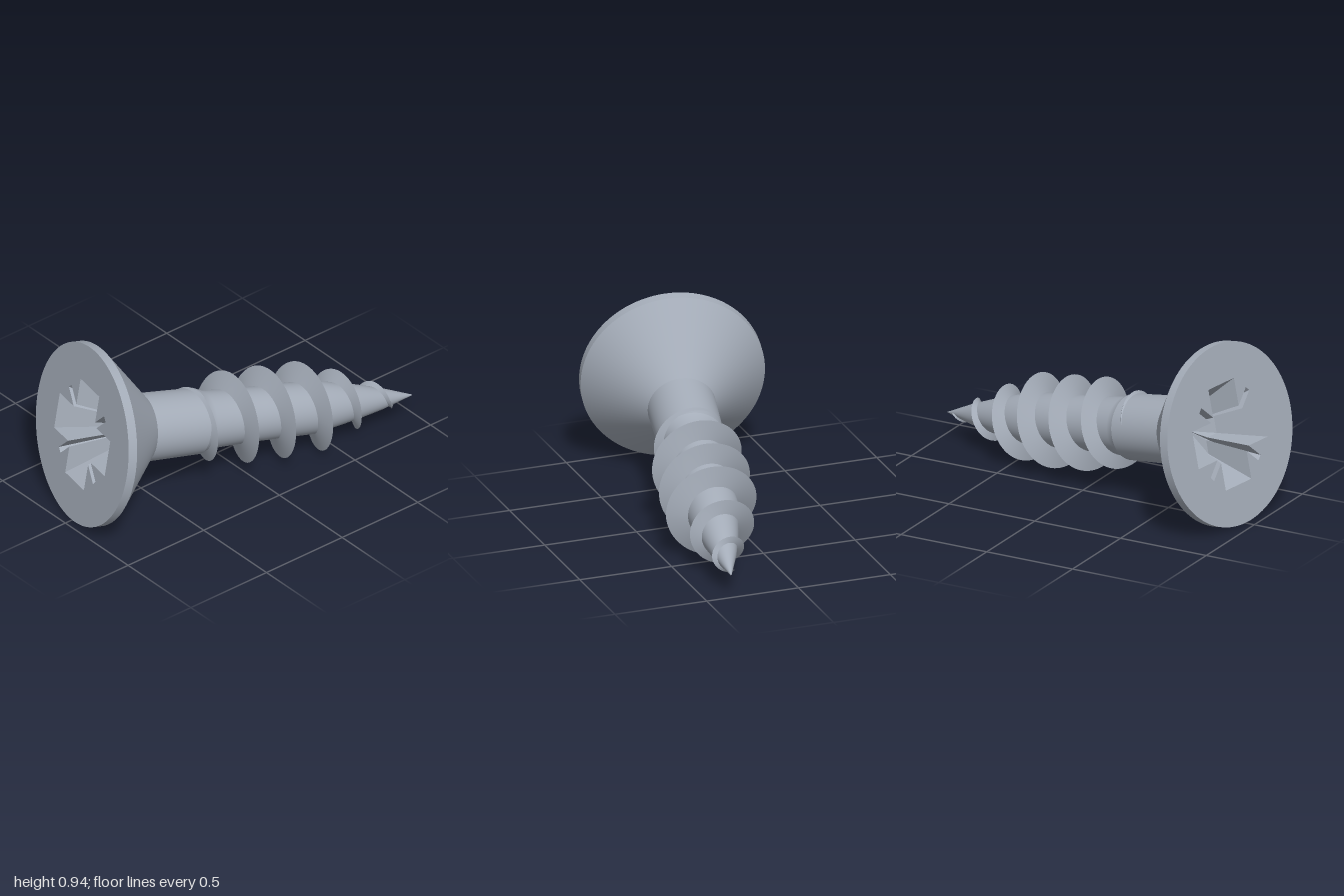
import * as THREE from 'three';

const steel = new THREE.MeshStandardMaterial({ color: 0xa4acb8 });
steel.name = 'steel';

// Profiles as [distance along the axis, radius]
const CORE = [[0.66, 0.17], [0.71, 0.15], [1.0, 0.14], [1.34, 0.138], [1.6, 0.09], [1.75, 0.056], [1.933, 0.002]];
const CREST = [[0.58, 0.168], [0.7, 0.203], [0.79, 0.233], [0.85, 0.244], [1.34, 0.242], [1.4, 0.217],
  [1.5, 0.174], [1.61, 0.131], [1.72, 0.088], [1.77, 0.073], [1.89, 0.02]];

function sample(table, t) {
  if (t <= table[0][0]) return table[0][1];
  for (let i = 1; i < table.length; i++) {
    const [t0, r0] = table[i - 1], [t1, r1] = table[i];
    if (t <= t1) return r0 + (r1 - r0) * (t - t0) / (t1 - t0);
  }
  return table[table.length - 1][1];
}

function mesh(name, geometry) {
  const m = new THREE.Mesh(geometry, steel);
  m.name = name;
  return m;
}

function turned(name, profile) {
  return mesh(name, new THREE.LatheGeometry(profile.map(([t, r]) => new THREE.Vector2(r, t)), 96));
}

// Cross-shaped recess outline with a narrow slit in each inner corner
function recessOutline() {
  const a = 0.1, reach = 0.27, m = 0.185, s = 0.011, pts = [];
  const quarter = [[reach, -a], [reach, a], [a + 2 * s, a], [m + s, m - s], [m - s, m + s], [a, a + 2 * s]];
  for (let q = 0; q < 4; q++) {
    for (const [x, y] of quarter) {
      pts.push(new THREE.Vector2(x, y).rotateAround(new THREE.Vector2(), q * Math.PI / 2));
    }
  }
  return pts;
}

// Tapered walls of the recess, closed by a pointed floor
function recessGeometry(outline) {
  const rings = [[1, 0], [0.5, 0.22], [0, 0.28]];
  const pos = [];
  const put = (p, [scale, depth]) => pos.push(p.x * scale, depth, p.y * scale);
  for (let k = 0; k < rings.length - 1; k++) {
    outline.forEach((p, i) => {
      const next = outline[(i + 1) % outline.length];
      put(p, rings[k]); put(next, rings[k]); put(p, rings[k + 1]);
      if (rings[k + 1][0] > 0) {
        put(p, rings[k + 1]); put(next, rings[k]); put(next, rings[k + 1]);
      }
    });
  }
  const g = new THREE.BufferGeometry();
  g.setAttribute('position', new THREE.Float32BufferAttribute(pos, 3));
  g.computeVertexNormals();
  return g;
}

// Sharp helical ridge: two flanks meeting in a hard crest
function threadGeometry() {
  const pitch = 0.217, start = 0.59, end = 1.885, perTurn = 72;
  const steps = Math.round((end - start) / pitch * perTurn);
  const pos = [], index = [];
  for (let i = 0; i <= steps; i++) {
    const t = start + (end - start) * i / steps;
    const phi = (t - 0.85) / pitch * Math.PI * 2;
    const crest = sample(CREST, t);
    const half = 0.01 + 0.22 * Math.max(0, crest - sample(CORE, t));
    const low = [t - half, sample(CORE, t - half) - 0.004];
    const high = [t + half, sample(CORE, t + half) - 0.004];
    for (const [y, r] of [low, [t, crest], [t, crest], high]) {
      pos.push(r * Math.sin(phi), y, r * Math.cos(phi));
    }
    if (i === steps) continue;
    for (const c of [0, 2]) {
      const p = i * 4 + c;
      index.push(p, p + 4, p + 1, p + 1, p + 4, p + 5);
    }
  }
  const g = new THREE.BufferGeometry();
  g.setAttribute('position', new THREE.Float32BufferAttribute(pos, 3));
  g.setIndex(index);
  g.computeVertexNormals();
  return g;
}

export function createModel() {
  const screw = new THREE.Group();
  screw.name = 'screw';

  // Head: flat face with recess, thin rim and countersunk cone
  const R = 0.475;
  const outline = recessOutline();
  const disc = new THREE.Shape().absarc(0, 0, R, 0, Math.PI * 2, false);
  disc.holes.push(new THREE.Path().setFromPoints(outline.slice().reverse()));
  screw.add(mesh('headFace', new THREE.ShapeGeometry(disc, 96).rotateX(Math.PI / 2)));
  screw.add(mesh('driveRecess', recessGeometry(outline)));
  screw.add(turned('headRim', [[0, R], [0.05, R]]));
  screw.add(turned('headCone', [[0.05, R], [0.343, 0.176]]));

  // Shank, tapering core and thread
  screw.add(turned('shank', [[0.343, 0.176], [0.66, 0.17]]));
  screw.add(turned('core', CORE));
  screw.add(mesh('thread', threadGeometry()));

  // Lay the screw down, resting on the head edge and thread
  const axis = new THREE.Vector3(0.962, -0.185, 0.199).normalize();
  const up = new THREE.Vector3(0.185, 0.962, 0).normalize();
  const side = new THREE.Vector3().crossVectors(axis, up).normalize();
  up.crossVectors(side, axis);
  screw.quaternion.setFromRotationMatrix(new THREE.Matrix4().makeBasis(side, axis, up));
  screw.position.set(-0.87, 0.474, -0.022);

  const model = new THREE.Group();
  model.name = 'woodScrew';
  model.add(screw);
  return model;
}
